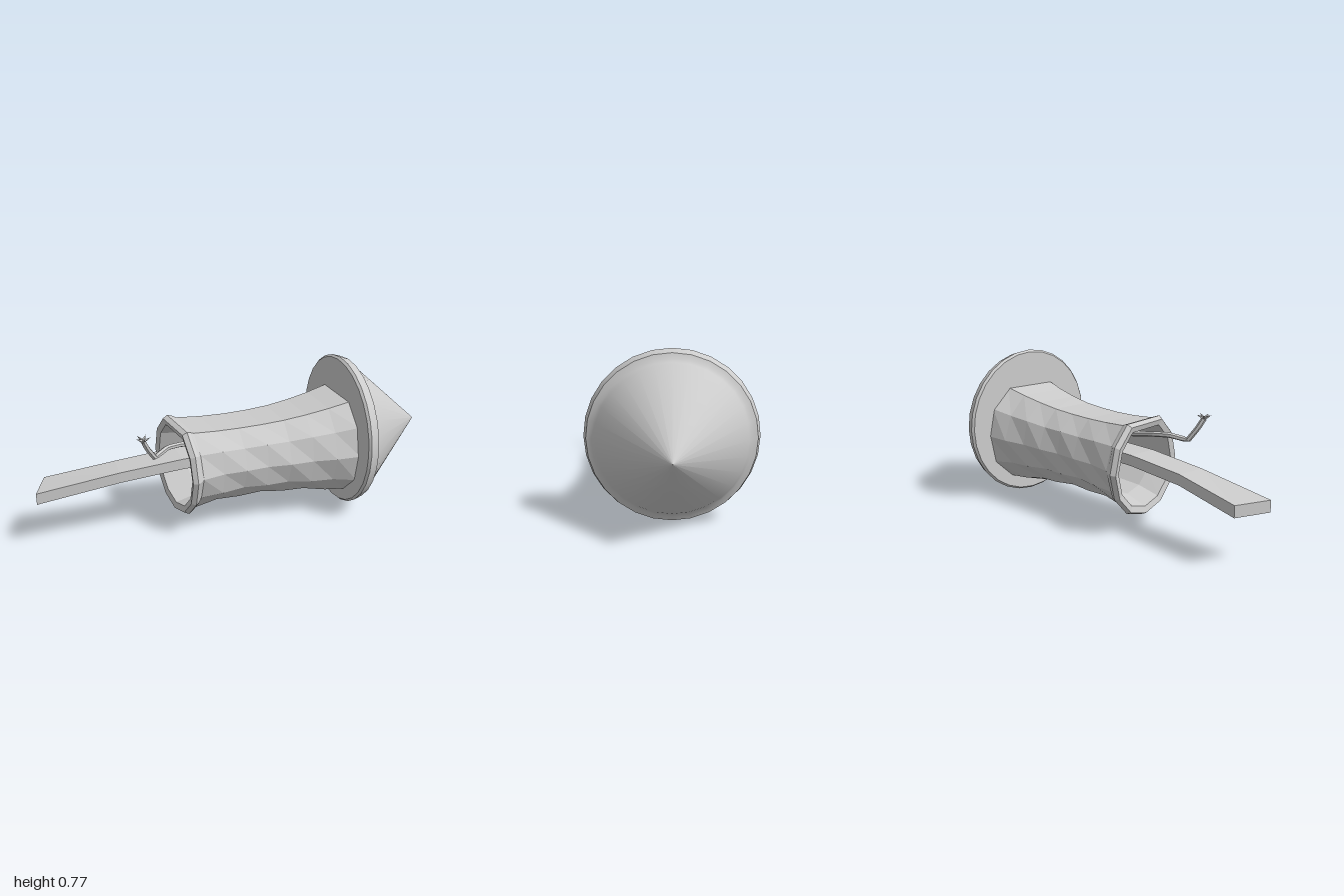
import * as THREE from 'three';
import { toCreasedNormals } from 'three/addons/utils/BufferGeometryUtils.js';

const material = (options = {}) => new THREE.MeshStandardMaterial({ color: 0xcccccc, ...options });

function addPart(group, name, geometry, options) {
  const mesh = new THREE.Mesh(geometry, material(options));
  mesh.name = name;
  group.add(mesh);
  return mesh;
}

// Joins closed rings of points into a skin, all with the same point count.
function skin(rings, caps = false) {
  const n = rings[0].length;
  const index = [];
  for (let k = 0; k < rings.length - 1; k++) {
    for (let j = 0; j < n; j++) {
      const a = k * n + j, b = k * n + (j + 1) % n;
      index.push(a, a + n, b, a + n, b + n, b);
    }
  }
  if (caps) {
    const last = (rings.length - 1) * n;
    for (let j = 1; j < n - 1; j++) {
      index.push(0, j, j + 1, last, last + j + 1, last + j);
    }
  }
  const geometry = new THREE.BufferGeometry();
  geometry.setAttribute('position', new THREE.Float32BufferAttribute(rings.flat(2), 3));
  geometry.setIndex(index);
  return geometry;
}

// Body ring with a flat top; tilt slants the ring, ridge raises spiral creases.
function bodyRing(x, r, cy, tilt, k = -1) {
  const ring = [];
  for (let j = 0; j < 11; j++) {
    const a = THREE.MathUtils.degToRad(120 + j * 30);
    const ridge = k >= 0 && j > 0 && j < 10 ? ((j + k) % 2 ? -0.004 : 0.004) : 0;
    const z = (r + ridge) * Math.cos(a);
    ring.push([x + tilt * z, cy + (r + ridge) * Math.sin(a), z]);
  }
  return ring;
}

function bodyGeometry() {
  // Cavity floor, cavity wall and lip
  const rings = [
    bodyRing(0.1, 0, 0.32, 0),
    bodyRing(0.1, 0.17, 0.32, 0),
    bodyRing(-0.2, 0.18, 0.315, 0.1),
    bodyRing(-0.32, 0.205, 0.305, 0.13),
    bodyRing(-0.328, 0.236, 0.305, 0.13),
    bodyRing(-0.305, 0.249, 0.307, 0.12),
    bodyRing(-0.285, 0.24, 0.31, 0.11),
  ];
  // Waisted spiral-wrapped wall
  const wall = new THREE.CatmullRomCurve3([
    [-0.265, 0.224, 0.315], [-0.14, 0.212, 0.318], [0, 0.209, 0.32],
    [0.2, 0.219, 0.322], [0.4, 0.248, 0.328], [0.55, 0.28, 0.335],
  ].map((p) => new THREE.Vector3(...p)));
  for (let k = 0; k <= 7; k++) {
    const p = wall.getPointAt(k / 7);
    rings.push(bodyRing(p.x, p.y, p.z, 0.1 * (1 - k / 7) ** 2, k));
  }
  return skin(rings);
}

// Cone head with a thick rim, turned around the rocket's long axis
function headGeometry() {
  const profile = [
    [0, 0.54], [0.374, 0.54], [0.384, 0.552], [0.37, 0.597],
    [0.346, 0.607], [0.334, 0.622], [0.327, 0.635], [0, 1],
  ].map(([r, x]) => new THREE.Vector2(r, x));
  const geometry = new THREE.LatheGeometry(profile, 28);
  geometry.rotateZ(-Math.PI / 2);
  geometry.translate(0, 0.381, 0);
  return toCreasedNormals(geometry, 0.6);
}

// Bent flat stick: [x at back, x at front, bottom, top, z back, z front]
function stickGeometry() {
  const sections = [
    [-0.94, -1.0, 0.23, 0.285, -0.12, 0.05],
    [-0.6, -0.61, 0.285, 0.337, -0.08, 0.065],
    [-0.3, -0.3, 0.312, 0.364, -0.078, 0.072],
    [0.11, 0.11, 0.32, 0.372, -0.078, 0.072],
  ];
  return skin(sections.map(([xb, xf, y0, y1, zb, zf]) => [
    [xf, y0, zf], [xf, y1, zf], [xb, y1, zb], [xb, y0, zb],
  ]), true);
}

export function createModel() {
  const rocket = new THREE.Group();
  rocket.name = 'fireworkRocket';

  addPart(rocket, 'body', bodyGeometry(), { flatShading: true });
  addPart(rocket, 'coneHead', headGeometry());
  addPart(rocket, 'stick', stickGeometry(), { flatShading: true });

  // Fuse with a frayed end
  const fuse = new THREE.Group();
  fuse.name = 'fuse';
  rocket.add(fuse);
  const path = new THREE.CurvePath();
  const points = [
    [-0.18, 0.425, 0.05], [-0.31, 0.443, 0.07], [-0.38, 0.447, 0.095],
    [-0.455, 0.428, 0.145], [-0.495, 0.49, 0.168], [-0.515, 0.535, 0.185],
  ].map((p) => new THREE.Vector3(...p));
  for (let i = 0; i < points.length - 1; i++) path.add(new THREE.LineCurve3(points[i], points[i + 1]));
  addPart(fuse, 'fuseCord', new THREE.TubeGeometry(path, 20, 0.013, 6), { flatShading: true });

  const end = points[points.length - 1];
  const up = new THREE.Vector3(0, 1, 0);
  for (let i = 0; i < 5; i++) {
    const a = (i / 5) * Math.PI * 2 + 0.3;
    const strand = addPart(fuse, 'frayedStrand', new THREE.ConeGeometry(0.011, 0.045, 4), { flatShading: true });
    const direction = new THREE.Vector3(Math.cos(a), 0.55, Math.sin(a)).normalize();
    strand.quaternion.setFromUnitVectors(up, direction);
    strand.position.copy(end).addScaledVector(direction, 0.018);
  }
  return rocket;
}
